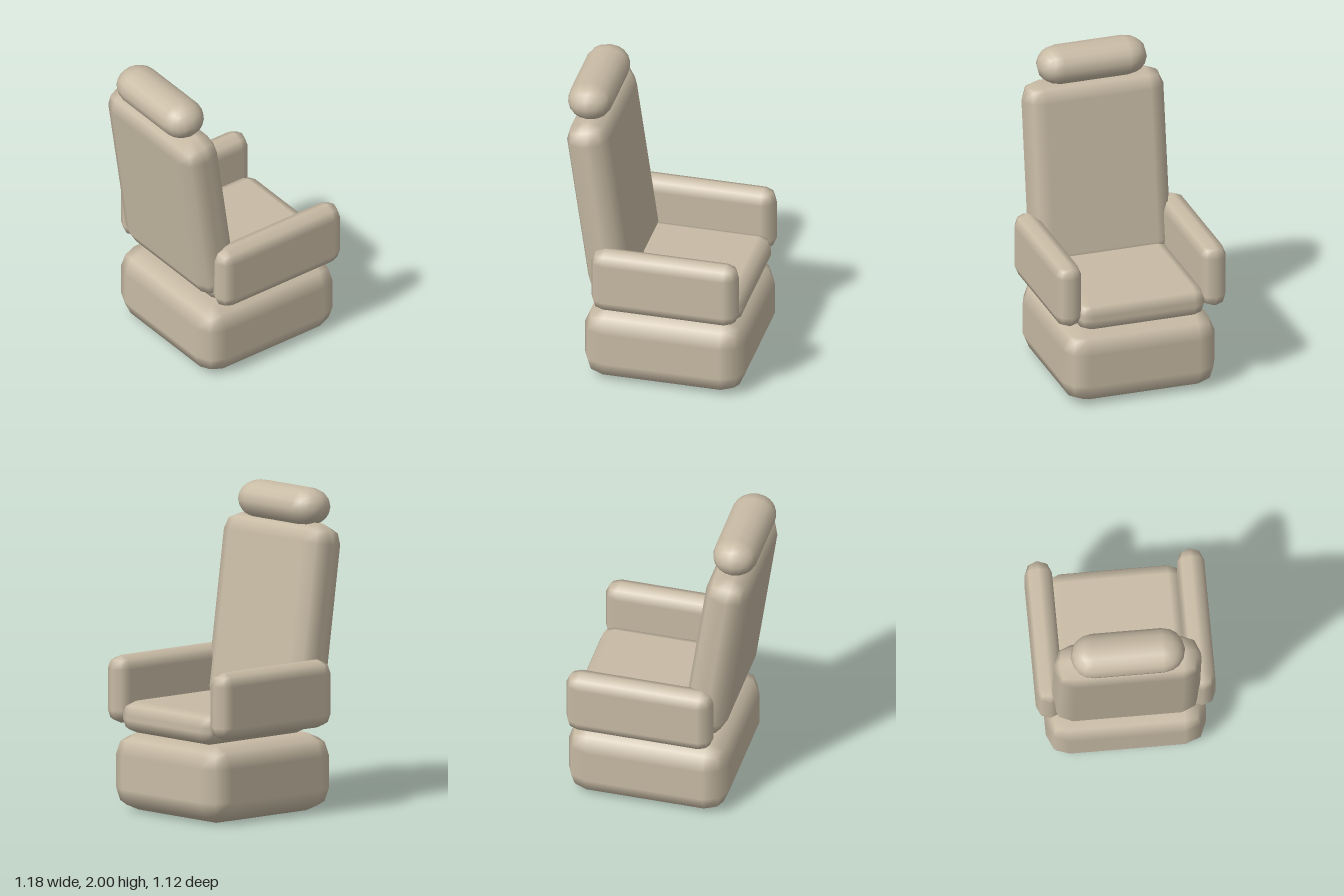
import * as THREE from 'three';
import { RoundedBoxGeometry } from 'three/addons/geometries/RoundedBoxGeometry.js';

const upholstery = new THREE.MeshStandardMaterial({ color: 0xc8bba5 });
upholstery.name = 'beige upholstery';

// Padded block with soft, coarsely rounded edges
function cushion(name, size, position, radius, segments = 1) {
  const mesh = new THREE.Mesh(new RoundedBoxGeometry(...size, segments, radius), upholstery);
  mesh.name = name;
  mesh.position.set(...position);
  return mesh;
}

export function createModel() {
  const chair = new THREE.Group();
  chair.name = 'armchair';

  // Plinth and seat pad; the chair opens towards +x
  chair.add(cushion('base', [1.035, 0.49, 1.0], [0.07, 0.245, 0], 0.14));
  chair.add(cushion('seat', [0.9, 0.2, 0.84], [0.12, 0.592, 0], 0.085));

  // Reclined backrest
  const backrest = cushion('backrest', [0.277, 1.225, 0.92], [-0.361, 1.18, 0], 0.12);
  backrest.rotation.z = 0.14;
  chair.add(backrest);

  // Bolster headrest, slightly flattened
  const headrest = cushion('headrest', [0.285, 0.285, 0.715], [-0.448, 1.879, 0], 0.142, 2);
  headrest.scale.y = 0.85;
  chair.add(headrest);

  // Mirrored armrests
  for (const side of [1, -1]) {
    chair.add(cushion(side > 0 ? 'leftArmrest' : 'rightArmrest',
      [0.945, 0.428, 0.17], [0.098, 0.75, side * 0.475], 0.084));
  }
  return chair;
}
